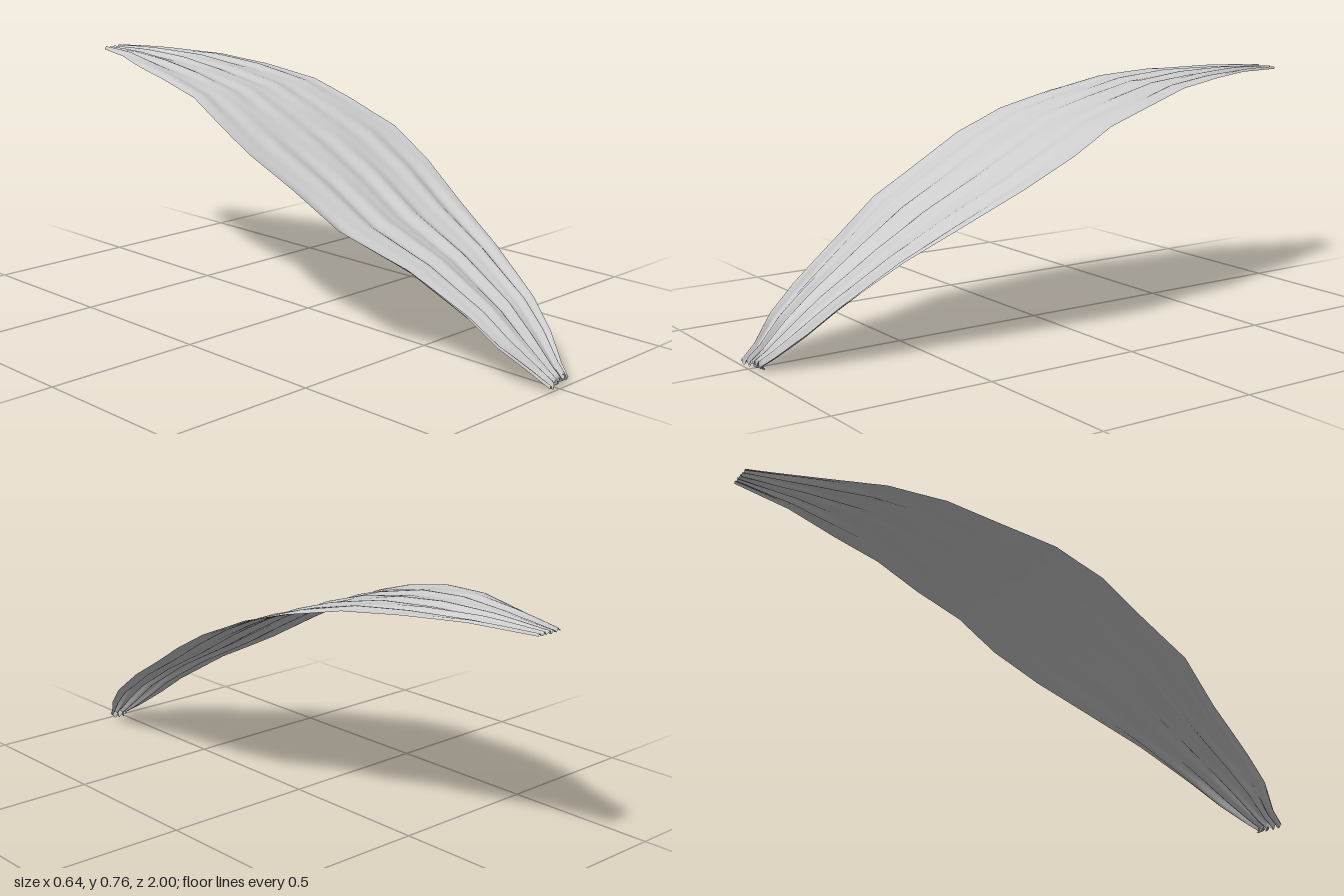
import * as THREE from 'three';

// Cross-sections from the front tip to the back tip: z, left edge x, right edge x, height
const sections = [
  [1.0, -0.045, 0.05, 0.012], [0.95, -0.065, 0.075, 0.045], [0.87, -0.12, 0.125, 0.11],
  [0.78, -0.145, 0.16, 0.18], [0.6, -0.2, 0.205, 0.293], [0.42, -0.287, 0.25, 0.388],
  [0.24, -0.3, 0.3, 0.485], [0.08, -0.32, 0.32, 0.568], [-0.08, -0.303, 0.288, 0.64],
  [-0.25, -0.255, 0.277, 0.694], [-0.43, -0.233, 0.222, 0.732], [-0.61, -0.19, 0.18, 0.75],
  [-0.8, -0.11, 0.107, 0.754], [-1.0, -0.042, 0.05, 0.749],
];
const ACROSS = 48, STEPS = 4;

// Height of the lengthwise pleats: shallow in the middle, tighter towards both tips
function pleat(u, v) {
  const end = Math.abs(2 * v - 1);
  const wave = Math.sin(u * 31 + 2.2 * Math.sin(v * 5)) + 0.5 * Math.sin(u * 53 + v * 7);
  const taper = 1 - 0.45 * THREE.MathUtils.smoothstep(end, 0.85, 1);
  const side = v < 0.5 ? 1 : 0.6;
  return wave * (0.0025 + 0.0085 * end * taper) * side;
}

// Thin arched sheet lofted through the cross-sections
function sheetGeometry() {
  const rows = (sections.length - 1) * STEPS;
  const pos = [], index = [];
  for (let j = 0; j <= rows; j++) {
    const k = Math.min(Math.floor(j / STEPS), sections.length - 2);
    const t = j / STEPS - k;
    const [z, left, right, y] = sections[k].map((a, i) => THREE.MathUtils.lerp(a, sections[k + 1][i], t));
    const v = (1 - z) / 2;
    for (let i = 0; i <= ACROSS; i++) {
      const u = i / ACROSS;
      // slightly ragged front tip
      const notch = j === 0 ? -0.03 * THREE.MathUtils.smoothstep(u, 0.1, 0.7) : 0;
      pos.push(THREE.MathUtils.lerp(left, right, u), Math.max(0, y + pleat(u, v)), z + notch);
    }
  }
  const w = ACROSS + 1;
  for (let j = 0; j < rows; j++) {
    for (let i = 0; i < ACROSS; i++) {
      const a = j * w + i;
      index.push(a, a + 1, a + w, a + 1, a + w + 1, a + w);
    }
  }
  const g = new THREE.BufferGeometry();
  g.setAttribute('position', new THREE.Float32BufferAttribute(pos, 3));
  g.setIndex(index);
  g.computeVertexNormals();
  return g;
}

export function createModel() {
  const group = new THREE.Group();
  group.name = 'leaf';
  const blade = new THREE.Mesh(
    sheetGeometry(),
    new THREE.MeshStandardMaterial({ color: 0xcccccc, side: THREE.DoubleSide })
  );
  blade.name = 'leafBlade';
  group.add(blade);
  return group;
}
